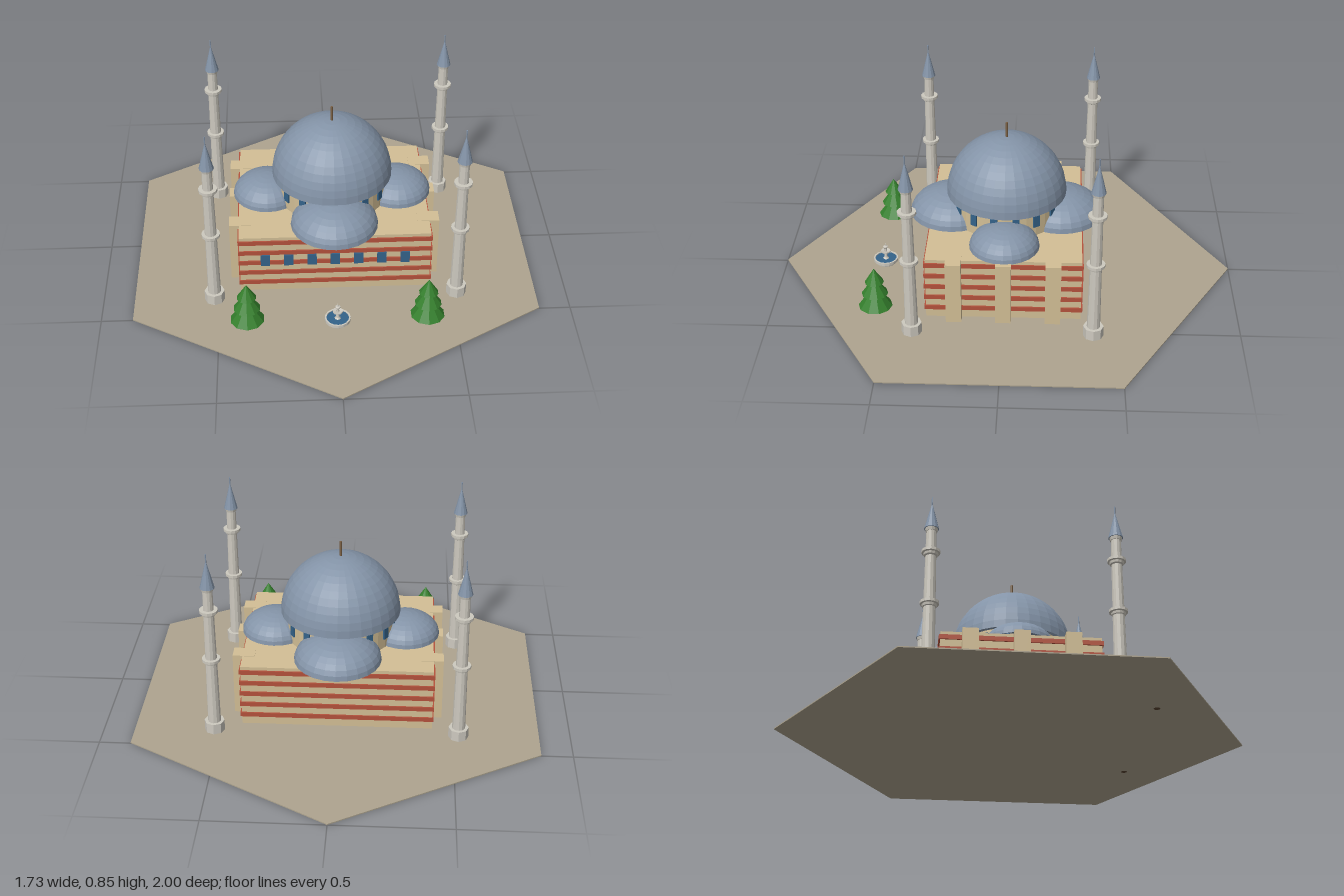
import * as THREE from 'three';

const mat = (name, color, opts = {}) => {
  const m = new THREE.MeshStandardMaterial({ color, ...opts });
  m.name = name;
  return m;
};

export function createModel() {
  const flat = { flatShading: true };
  const ground = mat('ground', 0xaea48f, flat);
  const sandstone = mat('sandstone', 0xd3bf96, flat);
  const brick = mat('brick', 0xb5523c, flat);
  const lead = mat('lead', 0x8494a8, { flatShading: true, side: THREE.DoubleSide });
  const blue = mat('blue', 0x34638a, flat);
  const marble = mat('marble', 0xcdc9bf, { flatShading: true, side: THREE.DoubleSide });
  const bronze = mat('bronze', 0x7a6044, flat);
  const foliage = mat('foliage', 0x347f2c, flat);
  const bark = mat('bark', 0x5a4432, flat);

  const model = new THREE.Group();
  model.name = 'domedBuilding';

  const add = (parent, name, geometry, material, x = 0, y = 0, z = 0) => {
    const mesh = new THREE.Mesh(geometry, material);
    mesh.name = name;
    mesh.position.set(x, y, z);
    parent.add(mesh);
    return mesh;
  };
  const box = (w, h, d) => new THREE.BoxGeometry(w, h, d);
  const cyl = (top, bottom, h, n) => new THREE.CylinderGeometry(top, bottom, h, n);
  const lathe = (points, n) =>
    new THREE.LatheGeometry(points.map(([r, y]) => new THREE.Vector2(r, y)), n);
  const dome = (r, n, rings) =>
    new THREE.SphereGeometry(r, n, rings, 0, Math.PI * 2, 0, Math.PI / 2);

  // Six-sided courtyard
  add(model, 'courtyard', cyl(1, 1, 0.005, 6), ground, 0, 0.0025, 0);

  // Main hall with brick bands wrapping all four walls
  const hall = new THREE.Group();
  hall.name = 'hall';
  model.add(hall);
  add(hall, 'walls', box(0.82, 0.285, 0.66), sandstone, 0, 0.1475, 0);
  for (let i = 1; i <= 5; i++) {
    add(hall, 'brickBand', box(0.832, 0.02, 0.672), brick, 0, 0.053 * i, 0);
  }

  // Buttresses on both side walls
  for (const side of [-1, 1]) {
    for (const z of [-0.21, 0, 0.21]) {
      add(hall, 'buttress', box(0.095, 0.287, 0.066), sandstone, side * 0.405, 0.1485, z);
    }
  }

  // Row of front windows
  for (let i = -3; i <= 3; i++) {
    add(hall, 'frontWindow', box(0.04, 0.055, 0.009), blue, i * 0.1, 0.172, 0.334);
  }

  // Drum and its ring of windows
  const crown = new THREE.Group();
  crown.name = 'crown';
  model.add(crown);
  add(crown, 'drum', cyl(0.24, 0.24, 0.115, 32), sandstone, 0, 0.3455, 0);
  for (let i = 0; i < 16; i++) {
    const a = ((i + 0.5) / 16) * Math.PI * 2;
    const w = add(crown, 'drumWindow', box(0.03, 0.055, 0.009), blue,
      Math.sin(a) * 0.241, 0.362, Math.cos(a) * 0.241);
    w.rotation.y = a;
  }

  // Great dome, finial and four flattened side domes
  add(crown, 'greatDome', dome(0.262, 32, 12), lead, 0, 0.4, 0);
  add(crown, 'domeFinial', cyl(0.005, 0.005, 0.08, 8), bronze, 0, 0.69, 0);
  for (const s of [-1, 1]) {
    add(crown, 'longDome', dome(0.188, 24, 8), lead, 0, 0.29, s * 0.237).scale.y = 0.6;
    add(crown, 'sideDome', dome(0.15, 24, 8), lead, s * 0.285, 0.29, 0).scale.y = 0.62;
  }

  // Corner minarets
  const shaftGeo = cyl(0.021, 0.028, 0.65, 12);
  const baseGeo = cyl(0.043, 0.043, 0.047, 8);
  const balconyGeo = lathe([[0.022, 0], [0.029, 0.004], [0.031, 0.014],
    [0.039, 0.016], [0.039, 0.028], [0.02, 0.028]], 12);
  const capGeo = cyl(0, 0.031, 0.125, 12);
  for (const x of [-0.522, 0.522]) {
    for (const z of [-0.381, 0.381]) {
      const minaret = new THREE.Group();
      minaret.name = 'minaret';
      minaret.position.set(x, 0, z);
      model.add(minaret);
      add(minaret, 'minaretBase', baseGeo, marble, 0, 0.0285, 0);
      add(minaret, 'minaretShaft', shaftGeo, marble, 0, 0.375, 0);
      for (const y of [0.336, 0.568]) add(minaret, 'balcony', balconyGeo, marble, 0, y, 0);
      add(minaret, 'capRing', cyl(0.027, 0.024, 0.014, 12), marble, 0, 0.69, 0);
      add(minaret, 'minaretCap', capGeo, lead, 0, 0.7595, 0);
      add(minaret, 'minaretFinial', cyl(0.003, 0.003, 0.04, 6), lead, 0, 0.828, 0);
    }
  }

  // Conifers in three tiers: radius, base height, cone height
  const tiers = [[0.073, 0.035, 0.1], [0.057, 0.097, 0.082], [0.041, 0.154, 0.066]];
  for (const x of [-0.38, 0.38]) {
    const tree = new THREE.Group();
    tree.name = 'tree';
    tree.position.set(x, 0, 0.55);
    model.add(tree);
    add(tree, 'trunk', cyl(0.012, 0.014, 0.045, 8), bark, 0, 0.0225, 0);
    for (const [r, y, h] of tiers) {
      add(tree, 'foliageTier', new THREE.ConeGeometry(r, h, 10), foliage, 0, y + h / 2, 0);
    }
  }

  // Fountain: basin, water, and a pedestal with a small bowl
  const fountain = new THREE.Group();
  fountain.name = 'fountain';
  fountain.position.set(0, 0, 0.55);
  model.add(fountain);
  add(fountain, 'basin', lathe([[0.045, 0.004], [0.047, 0.014], [0.055, 0.016],
    [0.055, 0.029], [0.048, 0.029], [0.048, 0.02]], 16), marble);
  add(fountain, 'water', cyl(0.049, 0.044, 0.02, 16), blue, 0, 0.015, 0);
  add(fountain, 'pedestal', lathe([[0.014, 0.024], [0.008, 0.032], [0.006, 0.05],
    [0.022, 0.06], [0.022, 0.065], [0.007, 0.062], [0.006, 0.078],
    [0.011, 0.084], [0.011, 0.088], [0.004, 0.09], [0, 0.105]], 10), marble);

  return model;
}
